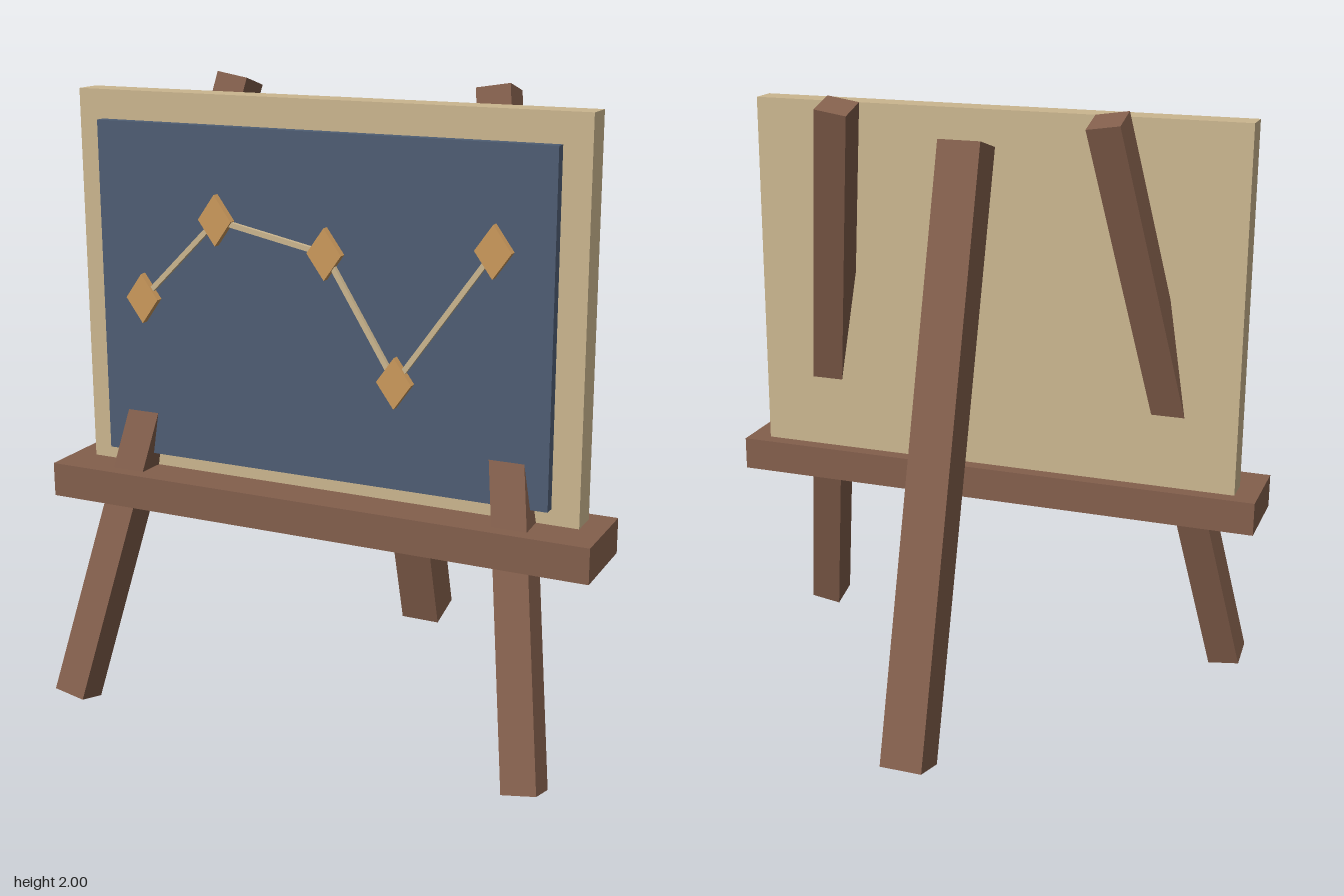
import * as THREE from 'three';

const material = (name, color) => {
  const m = new THREE.MeshStandardMaterial({ color });
  m.name = name;
  return m;
};

export function createModel() {
  const wood = material('brown wood', 0x835f4c);
  const cream = material('cream frame', 0xcbb68f);
  const slate = material('blue slate', 0x4e5d73);
  const amber = material('amber marker', 0xcb995c);

  const easel = new THREE.Group();
  easel.name = 'easel';

  const add = (name, geometry, mat, x, y, z) => {
    const mesh = new THREE.Mesh(geometry, mat);
    mesh.name = name;
    mesh.position.set(x, y, z);
    easel.add(mesh);
    return mesh;
  };
  const box = (name, w, h, d, mat, x, y, z) =>
    add(name, new THREE.BoxGeometry(w, h, d), mat, x, y, z);

  // Splayed front legs, leaning in and back towards the top
  for (const side of [1, -1]) {
    const leg = box(side > 0 ? 'leftFrontLeg' : 'rightFrontLeg', 0.108, 2.058, 0.108, wood, side * 0.604, 1.0, 0.277);
    leg.rotation.set(-0.283, 0, side * 0.163);
  }

  // Rear prop leg
  box('backLeg', 0.138, 1.93, 0.138, wood, 0, 0.958, -0.285).rotation.x = 0.275;

  // Ledge, framed board and writing surface
  box('ledge', 1.81, 0.11, 0.274, wood, 0, 0.705, 0.309);
  box('boardFrame', 1.66, 1.195, 0.092, cream, 0, 1.3575, 0.266);
  box('writingSurface', 1.49, 1.055, 0.034, slate, 0, 1.3375, 0.332);

  // Zigzag chart: diamond markers joined by thin rods
  const points = [[-0.58, 1.325], [-0.315, 1.588], [0.05, 1.515], [0.275, 1.15], [0.575, 1.565]];
  const chartZ = 0.378;

  const diamond = new THREE.Shape();
  diamond.moveTo(0, -0.078);
  diamond.lineTo(0.056, 0);
  diamond.lineTo(0, 0.078);
  diamond.lineTo(-0.056, 0);
  diamond.closePath();
  const marker = new THREE.ExtrudeGeometry(diamond, { depth: 0.024, bevelEnabled: false });
  marker.translate(0, 0, -0.012);

  points.forEach(([x, y], i) => {
    add(`chartMarker${i + 1}`, marker, amber, x, y, chartZ);
    if (i === 0) return;
    const [px, py] = points[i - 1];
    const rod = box(`chartLine${i}`, Math.hypot(x - px, y - py), 0.016, 0.014, cream, (x + px) / 2, (y + py) / 2, chartZ - 0.003);
    rod.rotation.z = Math.atan2(y - py, x - px);
  });

  return easel;
}
